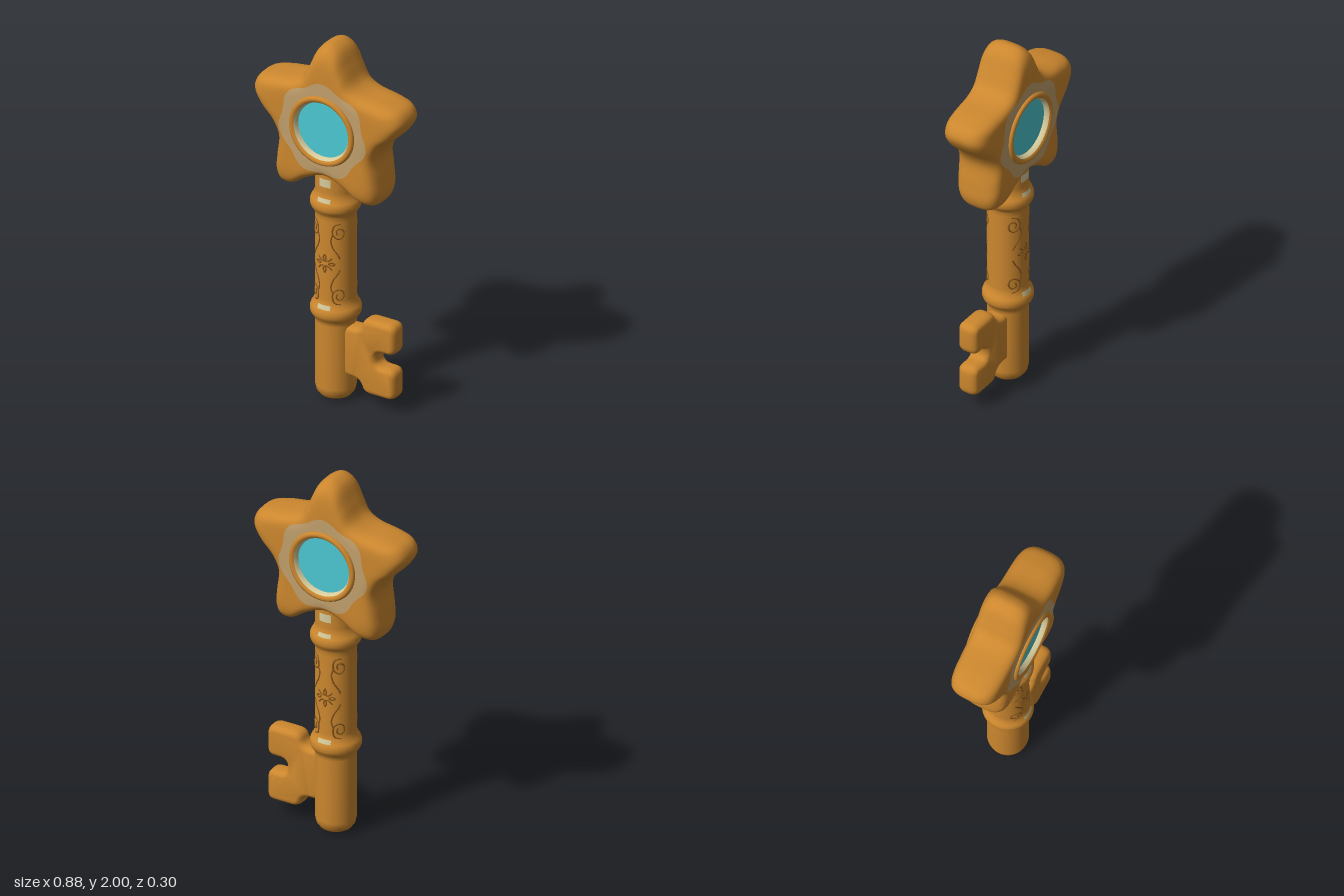
import * as THREE from 'three';
import { mergeVertices, toCreasedNormals } from 'three/addons/utils/BufferGeometryUtils.js';

const material = (name, color) => {
  const m = new THREE.MeshStandardMaterial({ color });
  m.name = name;
  return m;
};
const v2 = (list) => list.map(([x, y]) => new THREE.Vector2(x, y));

// Smooth surface from fn(u, v) -> [x, y, z], closed around u
function loft(nu, nv, fn) {
  const pos = [], idx = [];
  for (let j = 0; j <= nv; j++)
    for (let i = 0; i < nu; i++) pos.push(...fn(i / nu, j / nv));
  for (let j = 0; j < nv; j++)
    for (let i = 0; i < nu; i++) {
      const k = (i + 1) % nu;
      const a = j * nu + i, b = j * nu + k, c = a + nu, d = b + nu;
      idx.push(a, c, d, a, d, b);
    }
  const g = new THREE.BufferGeometry();
  g.setAttribute('position', new THREE.Float32BufferAttribute(pos, 3));
  g.setIndex(idx);
  const merged = mergeVertices(g);
  merged.computeVertexNormals();
  return merged;
}

// Shape from a polygon with rounded corners
function roundedShape(pts, radius) {
  const p = v2(pts), s = new THREE.Shape(), n = p.length;
  p.forEach((c, i) => {
    const toward = (q) => {
      const d = q.clone().sub(c);
      return c.clone().add(d.setLength(Math.min(radius, d.length() * 0.45)));
    };
    const a = toward(p[(i + n - 1) % n]), b = toward(p[(i + 1) % n]);
    if (i === 0) s.moveTo(a.x, a.y); else s.lineTo(a.x, a.y);
    s.quadraticCurveTo(c.x, c.y, b.x, b.y);
  });
  s.closePath();
  return s;
}

export function createModel() {
  const gold = material('gold', 0xcc872e);
  const tan = material('pale gold', 0xc2a06c);
  const cream = material('cream shine', 0xd6cb9c);
  const teal = material('teal gem', 0x4cc8d2);
  const brown = material('engraving brown', 0x8a581c);

  const model = new THREE.Group();
  const add = (name, geometry, mat, parent = model) => {
    const m = new THREE.Mesh(geometry, mat);
    m.name = name;
    parent.add(m);
    return m;
  };

  // Star head: rounded outline, puffed in z, open in the middle for the gem
  const CY = 1.54, HOLE = 0.16, SHAFT = 0.105;
  const right = [[0.055, 1.972], [0.1, 1.88], [0.14, 1.8], [0.2, 1.765], [0.34, 1.742],
    [0.415, 1.715], [0.44, 1.66], [0.405, 1.59], [0.325, 1.51], [0.285, 1.43], [0.298, 1.31],
    [0.304, 1.22], [0.28, 1.168], [0.22, 1.16], [0.12, 1.22]];
  const outline = [[0, 2], ...right, [0, 1.265], ...right.map(([x, y]) => [-x, y]).reverse()];
  const curve = new THREE.CatmullRomCurve3(
    outline.map(([x, y]) => new THREE.Vector3(x, y - CY, 0)), true, 'centripetal');
  const ray = (u) => {
    const p = curve.getPoint(((u % 1) + 1) % 1);
    const R = p.length(), a = Math.atan2(p.y, p.x);
    const halo = Math.min(0.25 + 0.012 * Math.cos(7 * (a - Math.PI / 2)), R * 0.93);
    return { R, x: p.x / R, y: p.y / R, t: (halo - HOLE) / (R - HOLE) };
  };
  const starPoint = (k, t, side) => {
    const r = HOLE + (k.R - HOLE) * t;
    const z = 0.132 * Math.pow(Math.max(0, 1 - t ** 6), 0.35);
    return [k.x * r, CY + k.y * r, side * z];
  };
  add('star', loft(160, 36, (u, v) => {
    const k = ray(1 - u), w = 1 - Math.abs(2 * v - 1);
    return starPoint(k, k.t + (1 - k.t) * Math.sin(w * Math.PI / 2), v <= 0.5 ? 1 : -1);
  }), gold);

  // Halo, bezel and gem on both faces
  for (const side of [1, -1]) {
    const label = side > 0 ? 'front' : 'back';
    add(label + 'Halo', loft(160, 6, (u, v) => {
      const k = ray(side > 0 ? 1 - u : u);
      return starPoint(k, k.t * v, side);
    }), tan);
    const setting = new THREE.Group();
    setting.name = label + 'Setting';
    setting.position.y = CY;
    setting.rotation.x = side * Math.PI / 2;
    model.add(setting);
    add('bezel', new THREE.LatheGeometry(v2([[0.191, 0.11], [0.191, 0.135], [0.187, 0.144],
      [0.178, 0.148], [0.168, 0.146], [0.161, 0.14]]), 64), gold, setting);
    add('bezelLining', new THREE.LatheGeometry(v2([[0.161, 0.14], [0.154, 0.13],
      [0.149, 0.112]]), 64), cream, setting);
    const gem = add('gem', new THREE.CircleGeometry(0.152, 64), teal, setting);
    gem.rotation.x = -Math.PI / 2;
    gem.position.y = 0.115;
  }

  // Shaft with two collars
  const collar = (c) => [[SHAFT, c - 0.055], [0.113, c - 0.045], [0.115, c - 0.036],
    [0.124, c - 0.028], [0.13, c - 0.012], [0.13, c + 0.008], [0.124, c + 0.025],
    [0.114, c + 0.036], [0.112, c + 0.048], [SHAFT, c + 0.06]];
  add('shaft', new THREE.LatheGeometry(v2([[0, 0], [0.05, 0.004], [0.08, 0.018], [0.098, 0.042],
    [SHAFT, 0.075], [SHAFT, 0.43], ...collar(0.5), [SHAFT, 0.58], [SHAFT, 1.02],
    ...collar(1.1), [SHAFT, 1.18], [SHAFT, 1.33]]), 48), gold);

  // Small shine patches above the collars, front and back
  for (const turn of [0, Math.PI])
    for (const [y, h, top, bottom] of [[0.54, 0.026, 0.114, 0.121],
      [1.137, 0.03, 0.114, 0.122], [1.235, 0.045, 0.107, 0.107]])
      add('shinePatch', new THREE.CylinderGeometry(top, bottom, h, 8, 1, true,
        turn - 0.32, 0.64), cream).position.y = y;

  // Key bit
  const bit = new THREE.ExtrudeGeometry(roundedShape([[0.06, 0.15], [0.165, 0.15], [0.19, 0.08],
    [0.375, 0.08], [0.375, 0.25], [0.26, 0.25], [0.26, 0.33], [0.375, 0.33], [0.375, 0.5],
    [0.19, 0.5], [0.165, 0.43], [0.06, 0.43]], 0.045), {
    depth: 0.03, bevelThickness: 0.04, bevelSize: 0.028, bevelOffset: -0.028,
    bevelSegments: 5, curveSegments: 6 });
  bit.translate(0, 0, -0.015);
  add('keyBit', toCreasedNormals(bit, 0.8), gold);

  // Engraved scrolls and leaves wrapped on the shaft, mirrored in four quarters
  const MID = 0.785;
  const strokes = [
    [[0.066, 0.165], [0.062, 0.19], [0.082, 0.2], [0.1, 0.18], [0.092, 0.15], [0.07, 0.143],
      [0.044, 0.165], [0.05, 0.215], [0.085, 0.228]],
    [[0.044, 0.17], [0.034, 0.13], [0.045, 0.09], [0.068, 0.055], [0.08, 0.03]],
    [[0.006, 0.012], [0.022, 0.016], [0.04, 0.034]],
    [[0, 0.012], [0.008, 0.03], [0, 0.052]],
    [[0.02, 0.0], [0.038, 0.008], [0.056, 0.0]],
  ];
  for (const turn of [0, Math.PI])
    for (const sx of [1, -1])
      for (const sy of [1, -1])
        for (const stroke of strokes) {
          const path = new THREE.CatmullRomCurve3(stroke.map(([u, y]) => {
            const a = turn + sx * u / SHAFT, r = SHAFT - 0.001;
            return new THREE.Vector3(r * Math.sin(a), MID + sy * y, r * Math.cos(a));
          }));
          add('engraving', new THREE.TubeGeometry(path, stroke.length * 4, 0.0045, 5), brown);
        }

  return model;
}
